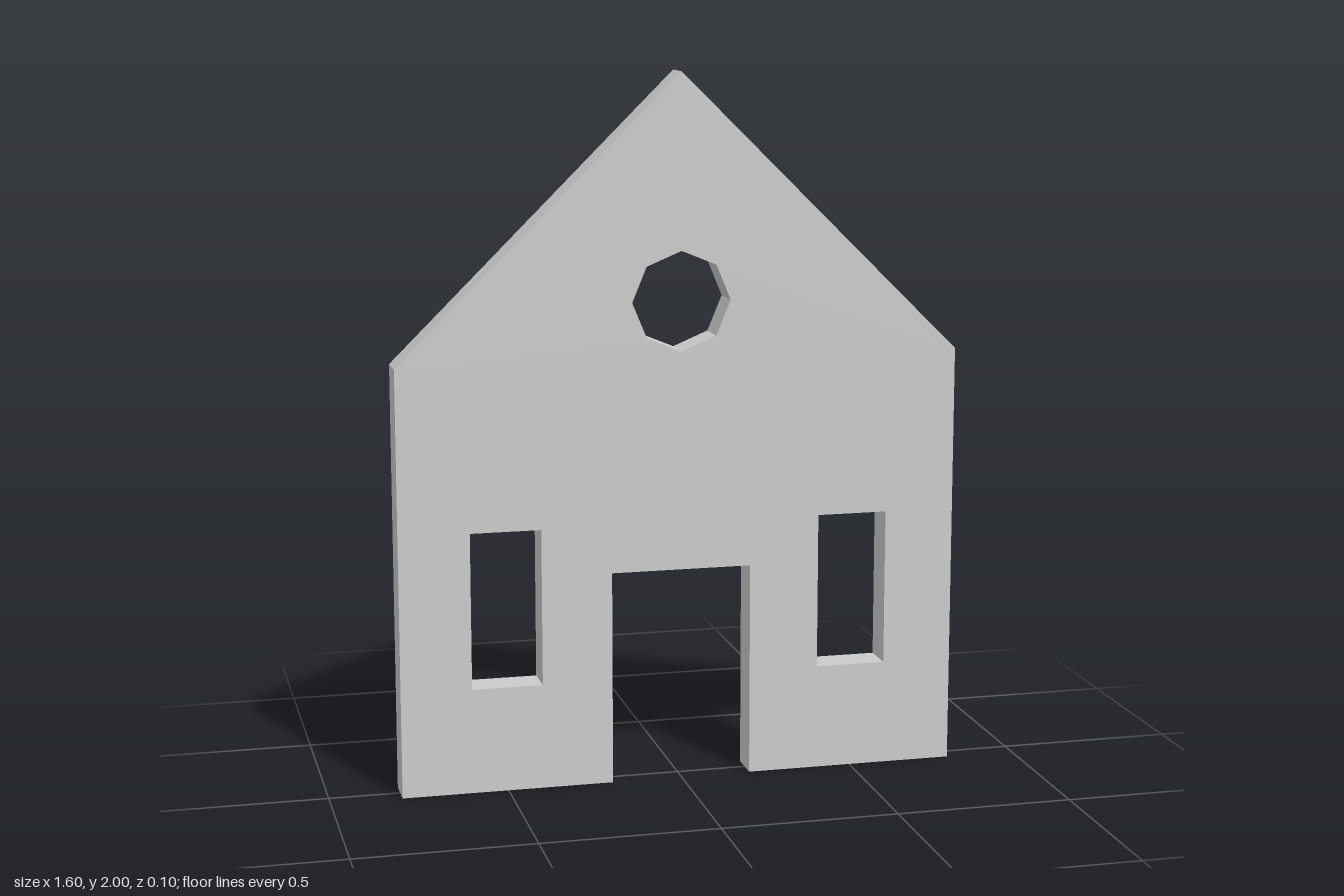
import * as THREE from 'three';

const DEPTH = 0.1;

const points = (list) => list.map(([x, y]) => new THREE.Vector2(x, y));

// Rectangular window opening
function windowHole(cx, bottom, top, width) {
  const h = width / 2;
  return new THREE.Path(points([
    [cx - h, bottom], [cx - h, top], [cx + h, top], [cx + h, bottom],
  ]));
}

// Regular polygon opening with a corner at the top
function polygonHole(cy, radius, sides) {
  const corners = [];
  for (let i = 0; i < sides; i++) {
    const a = (i / sides) * Math.PI * 2;
    corners.push([Math.sin(a) * radius, cy + Math.cos(a) * radius]);
  }
  return new THREE.Path(points(corners));
}

export function createModel() {
  const group = new THREE.Group();
  group.name = 'houseFacade';

  // Gabled outline with the doorway cut into the base
  const outline = new THREE.Shape(points([
    [-0.8, 0], [-0.2, 0], [-0.2, 0.61], [0.2, 0.61], [0.2, 0],
    [0.8, 0], [0.8, 1.21], [0, 2], [-0.8, 1.21],
  ]));

  // Two windows and the octagonal gable opening
  for (const side of [-1, 1]) outline.holes.push(windowHole(side * 0.5, 0.3, 0.745, 0.2));
  outline.holes.push(polygonHole(1.37, 0.14, 8));

  const geometry = new THREE.ExtrudeGeometry(outline, { depth: DEPTH, bevelEnabled: false });
  geometry.translate(0, 0, -DEPTH / 2);

  const wall = new THREE.Mesh(
    geometry,
    new THREE.MeshStandardMaterial({ color: 0xcccccc, flatShading: true }),
  );
  wall.name = 'gableWall';
  group.add(wall);
  return group;
}
